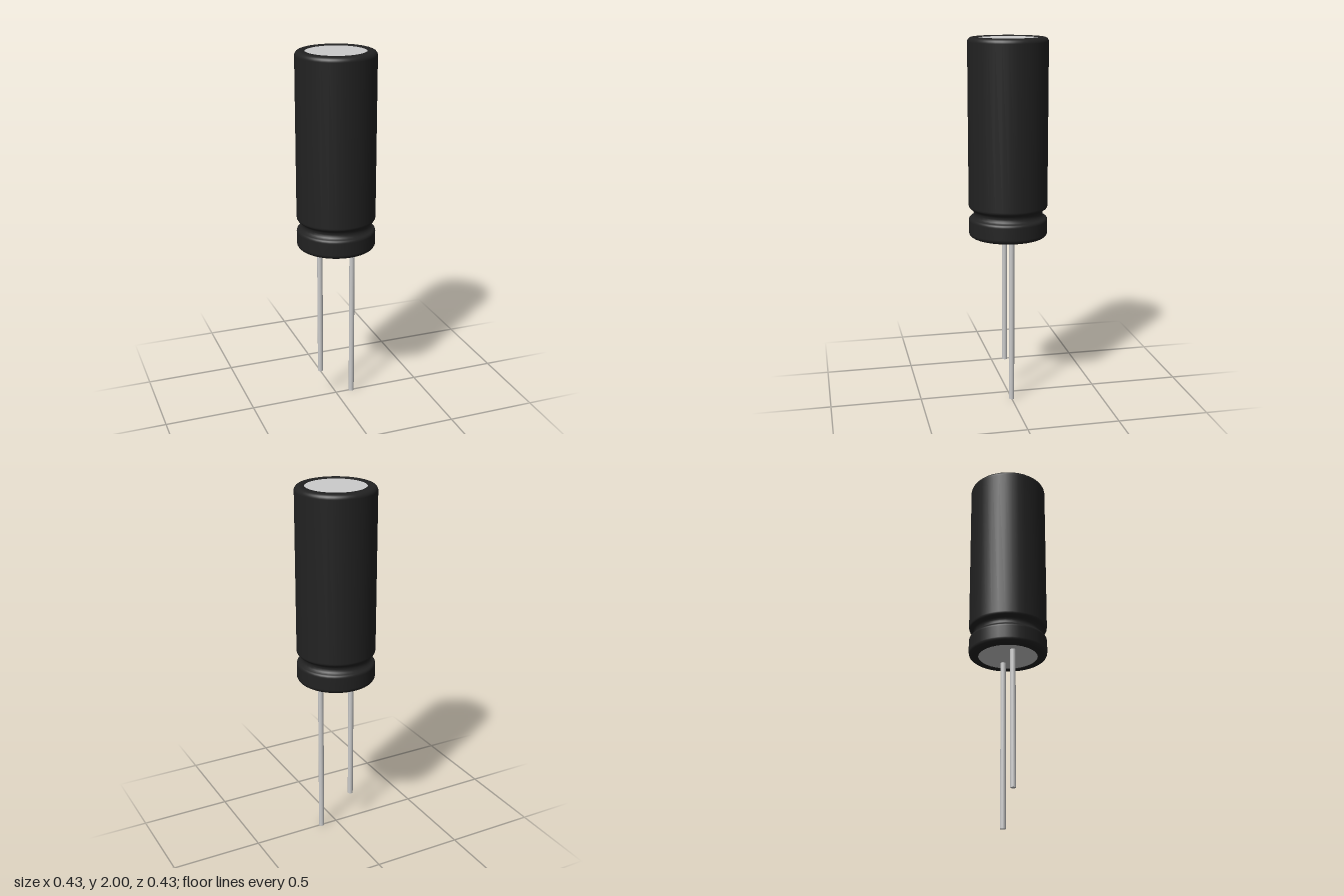
import * as THREE from 'three';

const grey = new THREE.MeshStandardMaterial({ color: 0xcccccc });
const black = new THREE.MeshStandardMaterial({ color: 0x222222, side: THREE.DoubleSide });

function add(group, name, geometry, material, x = 0, y = 0) {
  const mesh = new THREE.Mesh(geometry, material);
  mesh.name = name;
  mesh.position.set(x, y, 0);
  group.add(mesh);
}

export function createModel() {
  const group = new THREE.Group();
  group.name = 'capacitor';
  const R = 0.215, RIM = 0.163, BOTTOM = 0.925, TOP = 2, ROUND = 0.025;

  // Sleeve profile: rolled lower rim, crimped groove, straight wall, rolled upper rim
  const profile = new THREE.Path();
  profile.moveTo(RIM, BOTTOM + 0.012);
  profile.lineTo(RIM, BOTTOM);
  profile.lineTo(R - ROUND, BOTTOM);
  profile.absarc(R - ROUND, BOTTOM + ROUND, ROUND, -Math.PI / 2, 0, false);
  profile.lineTo(R, 1.015);
  profile.quadraticCurveTo(R, 1.03, 0.2, 1.035);
  profile.bezierCurveTo(0.183, 1.045, 0.183, 1.07, 0.2, 1.08);
  profile.quadraticCurveTo(R, 1.085, R, 1.1);
  profile.lineTo(R, TOP - ROUND);
  profile.absarc(R - ROUND, TOP - ROUND, ROUND, 0, Math.PI / 2, false);
  profile.lineTo(RIM, TOP);
  profile.lineTo(RIM, TOP - 0.012);
  add(group, 'sleeve', new THREE.LatheGeometry(profile.getPoints(6), 36), black);

  // Metal can end and bottom plug, just inside the rims
  add(group, 'topCap', new THREE.CylinderGeometry(RIM, RIM, 0.03, 36), grey, 0, TOP - 0.02);
  add(group, 'bottomPlug', new THREE.CylinderGeometry(RIM, RIM, 0.03, 36), grey, 0, BOTTOM + 0.02);

  // Wire leads of unequal length
  for (const [name, x, end] of [['longLead', 0.095, 0], ['shortLead', -0.095, 0.165]]) {
    const length = BOTTOM + 0.02 - end;
    add(group, name, new THREE.CylinderGeometry(0.015, 0.015, length, 16), grey, x, end + length / 2);
  }
  return group;
}
